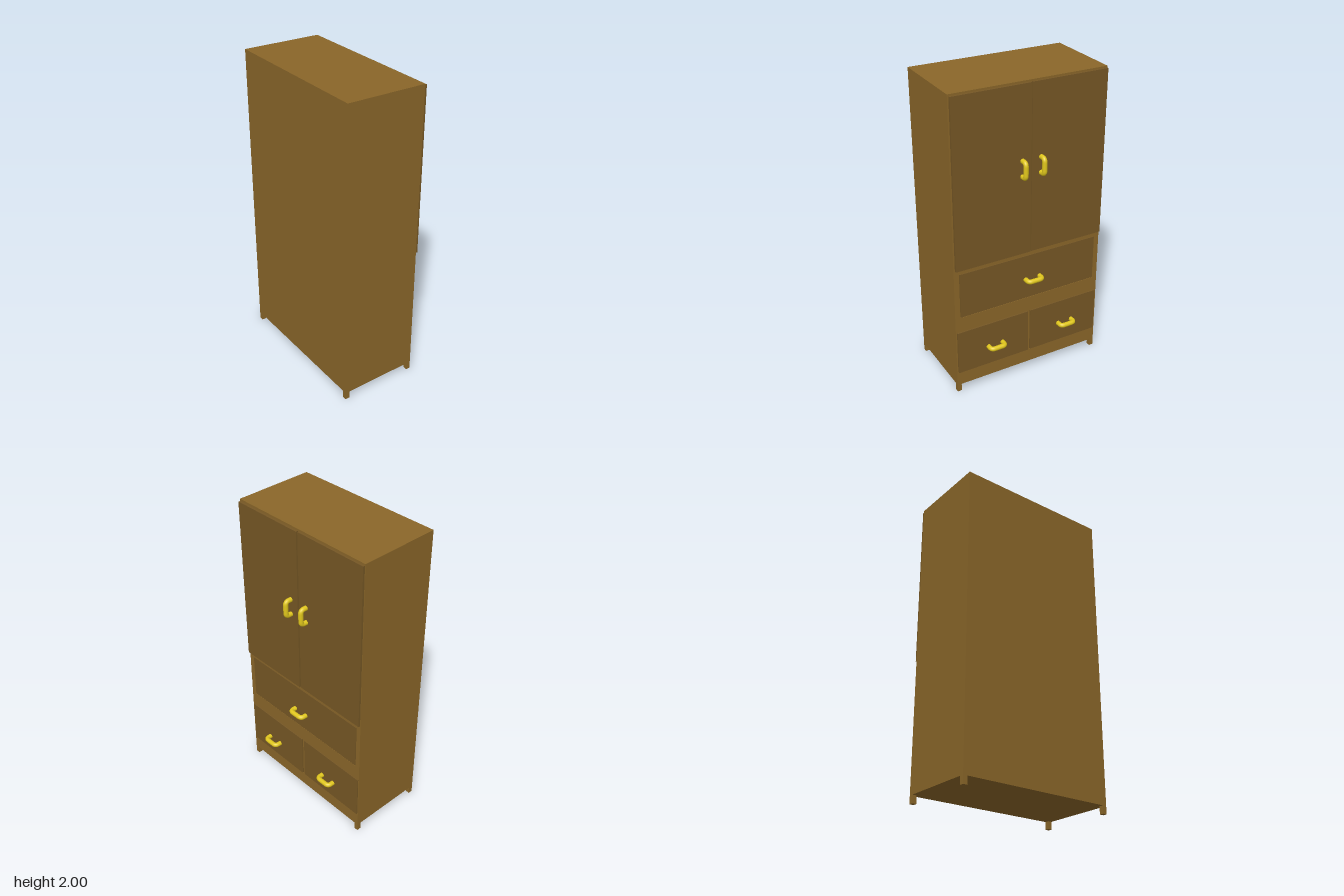
import * as THREE from 'three';

const wood = new THREE.MeshStandardMaterial({ color: 0x8a6629 });
const darkWood = new THREE.MeshStandardMaterial({ color: 0x765725 });
const brass = new THREE.MeshStandardMaterial({ color: 0xe0c61c });

const BACK = -0.305, FRONT = 0.217, HALF = 0.52, BASE = 0.05;

// Box given by its limits on each axis
function slab(name, [x0, x1], [y0, y1], [z0, z1], material) {
  const mesh = new THREE.Mesh(new THREE.BoxGeometry(x1 - x0, y1 - y0, z1 - z0), material);
  mesh.position.set((x0 + x1) / 2, (y0 + y1) / 2, (z0 + z1) / 2);
  mesh.name = name;
  return mesh;
}

// Bent round bar, lying along z, reaching out along +x
function handle(name, x, y, z, upright) {
  const h = 0.05, d = 0.042, b = 0.024;
  const v = (px, pz) => new THREE.Vector3(px, 0, pz);
  const path = new THREE.CurvePath();
  path.add(new THREE.LineCurve3(v(0, -h), v(d - b, -h)));
  path.add(new THREE.QuadraticBezierCurve3(v(d - b, -h), v(d, -h), v(d, -h + b)));
  path.add(new THREE.LineCurve3(v(d, -h + b), v(d, h - b)));
  path.add(new THREE.QuadraticBezierCurve3(v(d, h - b), v(d, h), v(d - b, h)));
  path.add(new THREE.LineCurve3(v(d - b, h), v(0, h)));
  const group = new THREE.Group();
  group.name = name;
  group.add(new THREE.Mesh(new THREE.TubeGeometry(path, 40, 0.0155, 14), brass));
  // flat end caps facing the furniture
  for (const s of [-1, 1]) {
    const cap = new THREE.Mesh(new THREE.CircleGeometry(0.0155, 14), brass);
    cap.rotation.y = -Math.PI / 2;
    cap.position.z = s * h;
    group.add(cap);
  }
  group.position.set(x, y, z);
  if (upright) group.rotation.x = Math.PI / 2;
  return group;
}

export function createModel() {
  const model = new THREE.Group();
  model.name = 'wardrobe';

  // Carcass: side profile with a slightly falling top
  const frameDepth = 0.02, inner = FRONT - frameDepth;
  const profile = new THREE.Shape([
    new THREE.Vector2(BACK, BASE), new THREE.Vector2(inner, BASE),
    new THREE.Vector2(inner, 1.99), new THREE.Vector2(BACK, 2),
  ]);
  const carcass = new THREE.Mesh(
    new THREE.ExtrudeGeometry(profile, { depth: 2 * HALF, bevelEnabled: false }), wood);
  carcass.position.z = -HALF;
  carcass.name = 'carcass';
  model.add(carcass);

  // Drawers: vertical limits, z limits, front face, handle centre
  const drawers = [
    { name: 'topDrawer', y: [0.555, 0.86], z: [-0.485, 0.482], x: 0.218, hz: -0.011, hx: 0.243 },
    { name: 'leftDrawer', y: [0.145, 0.447], z: [-0.512, -0.011], x: 0.221, hz: -0.262, hx: 0.243 },
    { name: 'rightDrawer', y: [0.145, 0.447], z: [0.006, 0.509], x: 0.223, hz: 0.258, hx: 0.246 },
  ];

  // Face frame with an opening around each drawer
  const rect = (Type, x0, x1, y0, y1) => new Type([
    new THREE.Vector2(x0, y0), new THREE.Vector2(x1, y0),
    new THREE.Vector2(x1, y1), new THREE.Vector2(x0, y1),
  ]);
  const face = rect(THREE.Shape, -HALF, HALF, BASE, 1.99);
  const gap = 0.003;
  for (const d of drawers) {
    face.holes.push(rect(THREE.Path, -d.z[1] - gap, -d.z[0] + gap, d.y[0] - gap, d.y[1] + gap));
  }
  const frame = new THREE.Mesh(
    new THREE.ExtrudeGeometry(face, { depth: frameDepth, bevelEnabled: false }), wood);
  frame.rotation.y = Math.PI / 2;
  frame.position.x = inner;
  frame.name = 'faceFrame';
  model.add(frame);

  // Drawer fronts and their handles
  for (const d of drawers) {
    model.add(slab(d.name, [inner, d.x], d.y, d.z, darkWood));
    model.add(handle(d.name + 'Handle', d.hx, (d.y[0] + d.y[1]) / 2 + 0.001, d.hz, false));
  }

  // Doors
  model.add(slab('rightDoor', [FRONT + 0.002, 0.235], [0.895, 1.98], [0.002, 0.512], darkWood));
  model.add(slab('leftDoor', [FRONT + 0.001, 0.231], [0.895, 1.98], [-0.517, -0.005], darkWood));
  model.add(handle('rightDoorHandle', 0.234, 1.465, 0.062, true));
  model.add(handle('leftDoorHandle', 0.23, 1.465, -0.067, true));

  // Four short square legs
  const leg = 0.028;
  for (const x of [BACK, FRONT - leg]) {
    for (const z of [-HALF, HALF - leg]) {
      model.add(slab('leg', [x, x + leg], [0, BASE], [z, z + leg], wood));
    }
  }
  return model;
}
